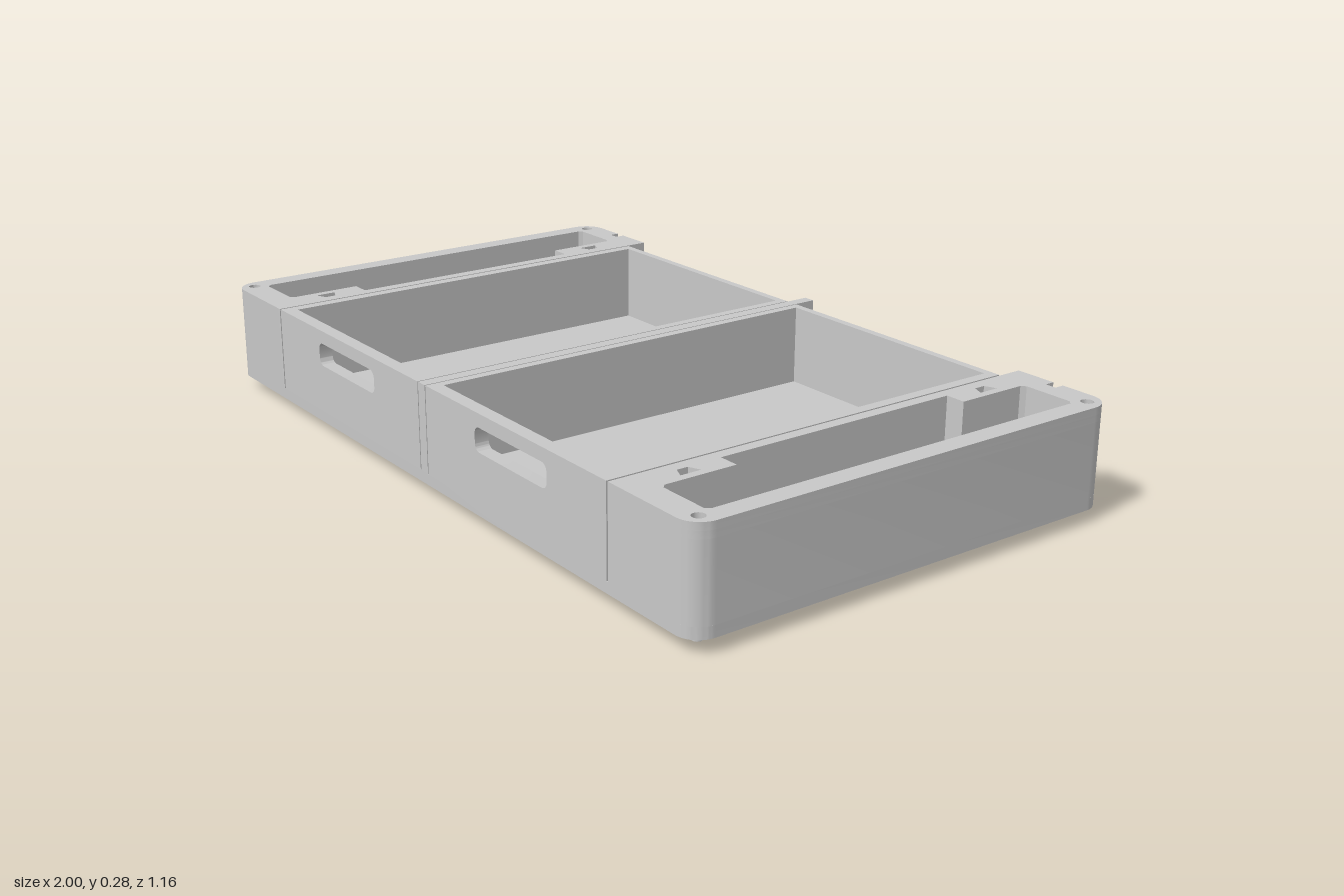
import * as THREE from 'three';
import { toCreasedNormals } from 'three/addons/utils/BufferGeometryUtils.js';

const grey = new THREE.MeshStandardMaterial({ color: 0xc8c8c8 });
grey.name = 'plastic grey';

const BASE = 0.033, FLOOR = 0.06, TOP = 0.275, DEPTH = 0.58, R = 0.055;
const INNER = 0.727; // inner face of the side frames

function add(parent, name, geometry) {
  const mesh = new THREE.Mesh(geometry, grey);
  mesh.name = name;
  parent.add(mesh);
  return mesh;
}

// Box given by its limits
function block(parent, name, x0, x1, y0, y1, z0, z1) {
  const g = new THREE.BoxGeometry(Math.abs(x1 - x0), y1 - y0, z1 - z0);
  add(parent, name, g.translate((x0 + x1) / 2, (y0 + y1) / 2, (z0 + z1) / 2));
}

function extrude(shape, depth) {
  const g = new THREE.ExtrudeGeometry(shape, { depth, bevelEnabled: false, curveSegments: 10 });
  return toCreasedNormals(g, 0.5);
}

// Plan outline in (x, z) raised from y0 to y1
function slab(parent, name, shape, y0, y1) {
  add(parent, name, extrude(shape, y1 - y0).rotateX(Math.PI / 2).translate(0, y1, 0));
}

// Outline mirrored in x for side -1, always kept counter-clockwise
function polygon(points, side = 1) {
  const list = points.map(([x, y]) => new THREE.Vector2(side * x, y));
  return new THREE.Shape(side < 0 ? list.reverse() : list);
}

function rect(x0, x1, y0, y1) {
  return [[x0, y0], [x1, y0], [x1, y1], [x0, y1]];
}

function roundRect(x0, x1, y0, y1, r) {
  const s = new THREE.Shape();
  s.absarc(x1 - r, y1 - r, r, 0, Math.PI / 2);
  s.absarc(x0 + r, y1 - r, r, Math.PI / 2, Math.PI);
  s.absarc(x0 + r, y0 + r, r, Math.PI, Math.PI * 1.5);
  s.absarc(x1 - r, y0 + r, r, Math.PI * 1.5, Math.PI * 2);
  s.closePath();
  return s;
}

// Side frame outline; notch is the width of the connector slot in the back edge
function sideOutline(s, notch, sockets) {
  const pts = [[INNER, -DEPTH]];
  if (notch) {
    const a = 0.845 - notch / 2, b = 0.845 + notch / 2;
    pts.push([a, -DEPTH], [a, -0.555], [b, -0.555], [b, -DEPTH]);
  }
  for (const [cz, start] of [[-DEPTH + R, -Math.PI / 2], [DEPTH - R, 0]]) {
    for (let i = 0; i <= 10; i++) {
      const t = start + (i / 10) * Math.PI / 2;
      pts.push([1 - R + Math.cos(t) * R, cz + Math.sin(t) * R]);
    }
  }
  pts.push([INNER, DEPTH]);
  const shape = polygon(pts, s);

  // Long pocket, wider in the middle
  shape.holes.push(polygon([
    [0.755, -0.32], [0.805, -0.32], [0.805, -0.5], [0.815, -0.51], [0.94, -0.51], [0.95, -0.5],
    [0.95, 0.5], [0.94, 0.51], [0.815, 0.51], [0.805, 0.5], [0.805, 0.32], [0.755, 0.32]], s));

  for (const e of [-1, 1]) {
    // Dovetail slot in the inner block
    const z = e * 0.42;
    shape.holes.push(polygon([
      [0.757, z - 0.014], [0.785, z - 0.026], [0.785, z + 0.026], [0.757, z + 0.014]], s));
    // Stacking socket in the corner
    if (sockets) {
      const hole = new THREE.Path();
      hole.absarc(s * 0.963, e * 0.54, 0.015, 0, Math.PI * 2);
      shape.holes.push(hole);
    }
  }
  return shape;
}

function buildSide(s) {
  const side = new THREE.Group();
  side.name = s > 0 ? 'leftSideFrame' : 'rightSideFrame';
  slab(side, 'sideWalls', sideOutline(s, 0, false), FLOOR, 0.24);
  slab(side, 'slotLevel', sideOutline(s, 0.044, true), 0.24, 0.257);
  slab(side, 'rimLevel', sideOutline(s, 0.028, true), 0.257, TOP);
  // Rail closing the narrow gap beside the drawer
  block(side, 'drawerRail', s * 0.721, s * INNER, FLOOR, 0.265, -0.5, 0.45);

  // Stacking feet
  for (const e of [-1, 1]) {
    const foot = new THREE.CylinderGeometry(0.012, 0.012, 0.02, 20);
    add(side, 'foot', foot.translate(s * 0.963, 0.03, e * 0.54));
  }
  // Hanging dovetail connector on the back edge
  const tab = polygon([[-0.022, 0], [0.022, 0], [0.022, 0.016], [0.014, 0.034],
    [-0.014, 0.034], [-0.022, 0.016]]);
  add(side, 'connectorTab', extrude(tab, 0.023).translate(s * 0.848, 0, -DEPTH));
  return side;
}

function buildDrawer(s) {
  const drawer = new THREE.Group();
  drawer.name = s > 0 ? 'leftDrawer' : 'rightDrawer';
  const x0 = 0.018, x1 = 0.722, z0 = -0.52, zi = 0.545;
  block(drawer, 'drawerBottom', s * x0, s * x1, FLOOR, 0.075, z0, zi);
  block(drawer, 'drawerBack', s * x0, s * x1, 0.075, TOP, z0, -0.5);
  block(drawer, 'drawerInnerWall', s * x0, s * 0.04, 0.075, TOP, -0.5, zi);
  block(drawer, 'drawerOuterWall', s * 0.695, s * x1, 0.075, TOP, -0.5, zi);

  // Front panel with a hand slot
  const front = polygon(rect(x0, x1, FLOOR, TOP), s);
  const a = s > 0 ? 0.228 : -0.51;
  front.holes.push(roundRect(a, a + 0.282, 0.184, 0.242, 0.018));
  add(drawer, 'drawerFront', extrude(front, DEPTH - zi).translate(0, 0, zi));
  return drawer;
}

export function createModel() {
  const model = new THREE.Group();
  model.name = 'drawerTray';

  // Base plate, open below the drawers and in the side pockets
  const base = roundRect(-1, 1, -DEPTH, DEPTH, R);
  base.holes.push(polygon(rect(-0.705, 0.705, -0.515, 0.52)));
  for (const s of [-1, 1]) base.holes.push(polygon(rect(0.755, 0.95, -0.32, 0.315), s));
  slab(model, 'basePlate', base, BASE, FLOOR);
  block(model, 'centreDivider', -0.015, 0.015, FLOOR, TOP, -DEPTH, DEPTH);

  for (const s of [-1, 1]) model.add(buildSide(s), buildDrawer(s));
  return model;
}
